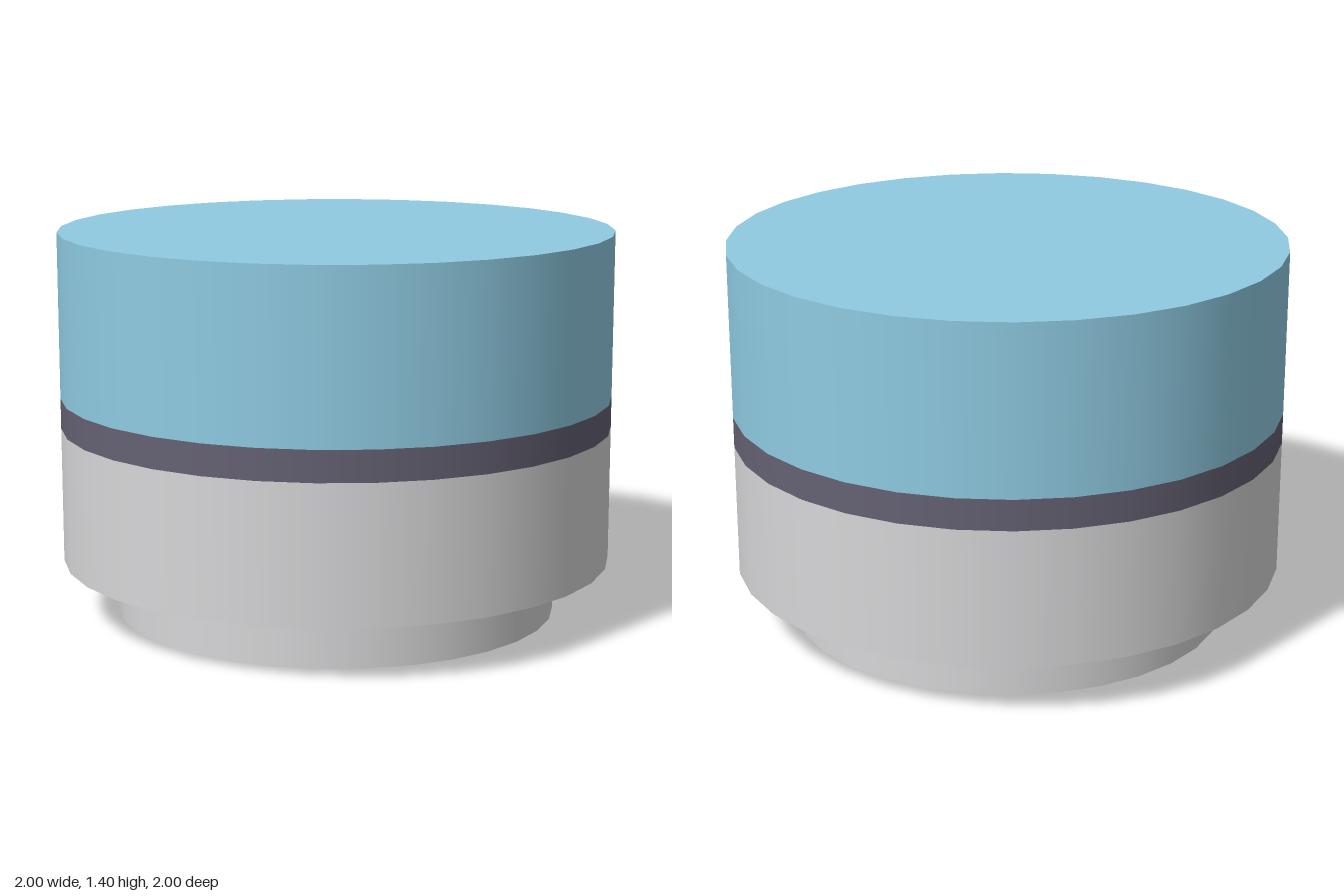
import * as THREE from 'three';

const SIDES = 32;

export function createModel() {
  const model = new THREE.Group();
  model.name = 'steppedCap';

  const mat = (name, color, side = THREE.FrontSide) =>
    Object.assign(new THREE.MeshStandardMaterial({ color, side }), { name });
  const blue = mat('paleBlue', 0x8fcbe2);
  const purple = mat('darkPurple', 0x656173, THREE.DoubleSide);
  const grey = mat('lightGrey', 0xd7d6d8, THREE.DoubleSide);

  const add = (name, geometry, material, y) => {
    const mesh = new THREE.Mesh(geometry, material);
    mesh.name = name;
    mesh.position.y = y;
    model.add(mesh);
    return mesh;
  };
  // Thin open wall between two heights
  const wall = (name, radius, y0, y1, material) =>
    add(name, new THREE.CylinderGeometry(radius, radius, y1 - y0, SIDES, 1, true), material, (y0 + y1) / 2);

  // Blue upper block: wall and top
  wall('upperWall', 1, 0.8, 1.4, blue);
  add('top', new THREE.CircleGeometry(1, SIDES).rotateX(-Math.PI / 2), blue, 1.4);

  // Hollow lower body, seen from inside through the neck
  wall('band', 1, 0.69, 0.8, purple);
  wall('lowerWall', 1, 0.2, 0.69, grey);
  add('innerCeiling', new THREE.CircleGeometry(1, SIDES).rotateX(Math.PI / 2), grey, 0.8);
  add('shoulder', new THREE.RingGeometry(0.8, 1, SIDES).rotateX(Math.PI / 2), grey, 0.2);

  // Open neck at the bottom
  wall('neck', 0.8, 0, 0.2, grey);

  return model;
}
